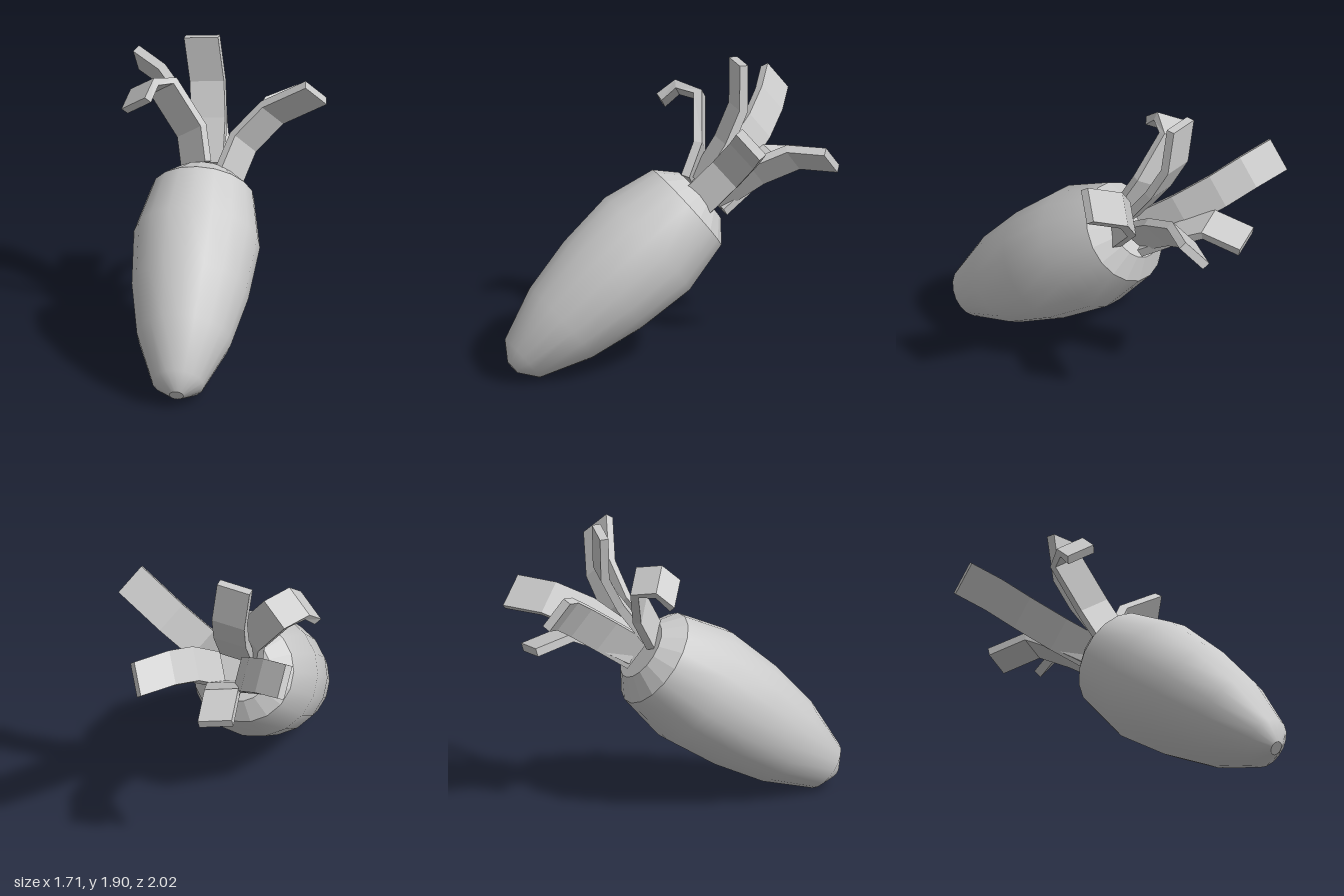
import * as THREE from 'three';

const AXIS = new THREE.Vector3(0.497, 0.606, -0.624).normalize();
const MIDDLE = new THREE.Vector3(-0.385, 0.525, 0.47); // a point on the root's axis
const CROWN = new THREE.Vector3(0.03, 1.03, -0.05);

const smooth = new THREE.MeshStandardMaterial({ color: 0xcccccc });
const faceted = new THREE.MeshStandardMaterial({ color: 0xcccccc, flatShading: true });

// Turned piece of the root; profile holds [radius, distance along the axis]
function turned(name, profile, material) {
  const points = profile.map(([r, t]) => new THREE.Vector2(r, t));
  const mesh = new THREE.Mesh(new THREE.LatheGeometry(points, 18), material);
  mesh.name = name;
  mesh.position.copy(MIDDLE);
  mesh.quaternion.setFromUnitVectors(new THREE.Vector3(0, 1, 0), AXIS);
  return mesh;
}

// Bent strip with a rectangular cross-section swept along a path
function leaf(path, width = 0.22, thickness = 0.055) {
  const pts = path.map((p) => new THREE.Vector3(...p));
  const n = pts.length;
  const radial = pts[n - 1].clone().sub(CROWN);
  radial.addScaledVector(AXIS, -radial.dot(AXIS));
  const side = new THREE.Vector3().crossVectors(AXIS, radial).normalize();

  const positions = [];
  pts.forEach((p, i) => {
    const a = pts[Math.max(i - 1, 0)], b = pts[Math.min(i + 1, n - 1)];
    const tangent = b.clone().sub(a).normalize();
    const normal = new THREE.Vector3().crossVectors(side, tangent).normalize();
    for (const [s, h] of [[-1, -1], [1, -1], [1, 1], [-1, 1]]) {
      const v = p.clone().addScaledVector(side, s * width / 2).addScaledVector(normal, h * thickness / 2);
      positions.push(v.x, v.y, v.z);
    }
  });

  // side x normal points against the path, so the walls wind accordingly
  const index = [];
  const quad = (a, b, c, d) => index.push(a, b, c, a, c, d);
  for (let i = 0; i < n - 1; i++) {
    for (let k = 0; k < 4; k++) {
      const a = i * 4 + k, b = i * 4 + (k + 1) % 4;
      quad(a, a + 4, b + 4, b);
    }
  }
  const e = (n - 1) * 4;
  quad(0, 1, 2, 3);
  quad(e + 3, e + 2, e + 1, e);

  const geometry = new THREE.BufferGeometry();
  geometry.setAttribute('position', new THREE.Float32BufferAttribute(positions, 3));
  geometry.setIndex(index);
  geometry.computeVertexNormals();
  const mesh = new THREE.Mesh(geometry, faceted);
  mesh.name = 'leaf';
  return mesh;
}

export function createModel() {
  const model = new THREE.Group();
  model.name = 'rootVegetable';

  // Root: smooth body, blunt tip and faceted crown
  model.add(turned('rootBody', [
    [0.045, -0.77], [0.165, -0.685], [0.298, -0.355], [0.37, 0], [0.4, 0.38], [0.325, 0.718],
  ], smooth));
  model.add(turned('rootTip', [[0, -0.77], [0.045, -0.77]], faceted));
  model.add(turned('crown', [[0.325, 0.718], [0.2, 0.83], [0, 0.83]], faceted));

  // Leaves: one path each, from the crown outward
  const leaves = new THREE.Group();
  leaves.name = 'leaves';
  const paths = [
    [[0.03, 1.13, -0.03], [0.13, 1.37, -0.17], [0.18, 1.58, -0.27], [0.16, 1.87, -0.31]],
    [[0.1, 1.06, 0.11], [0.26, 1.25, 0.03], [0.43, 1.44, 0.1], [0.61, 1.62, 0.34]],
    [[0.15, 1.04, -0.02], [0.38, 1.22, -0.14], [0.58, 1.32, -0.26], [0.83, 1.33, -0.31]],
    [[0.12, 0.97, -0.1], [0.22, 1.1, -0.28], [0.31, 1.2, -0.47], [0.44, 1.14, -0.69]],
    [[-0.05, 1.13, -0.02], [-0.02, 1.33, -0.13], [-0.12, 1.59, -0.31], [-0.27, 1.62, -0.29], [-0.36, 1.53, -0.24]],
    [[0.03, 1.02, -0.1], [0.12, 1.19, -0.32], [0.16, 1.35, -0.55], [0.14, 1.46, -0.74], [0.07, 1.53, -0.94]],
  ];
  for (const path of paths) leaves.add(leaf(path));
  model.add(leaves);

  return model;
}
